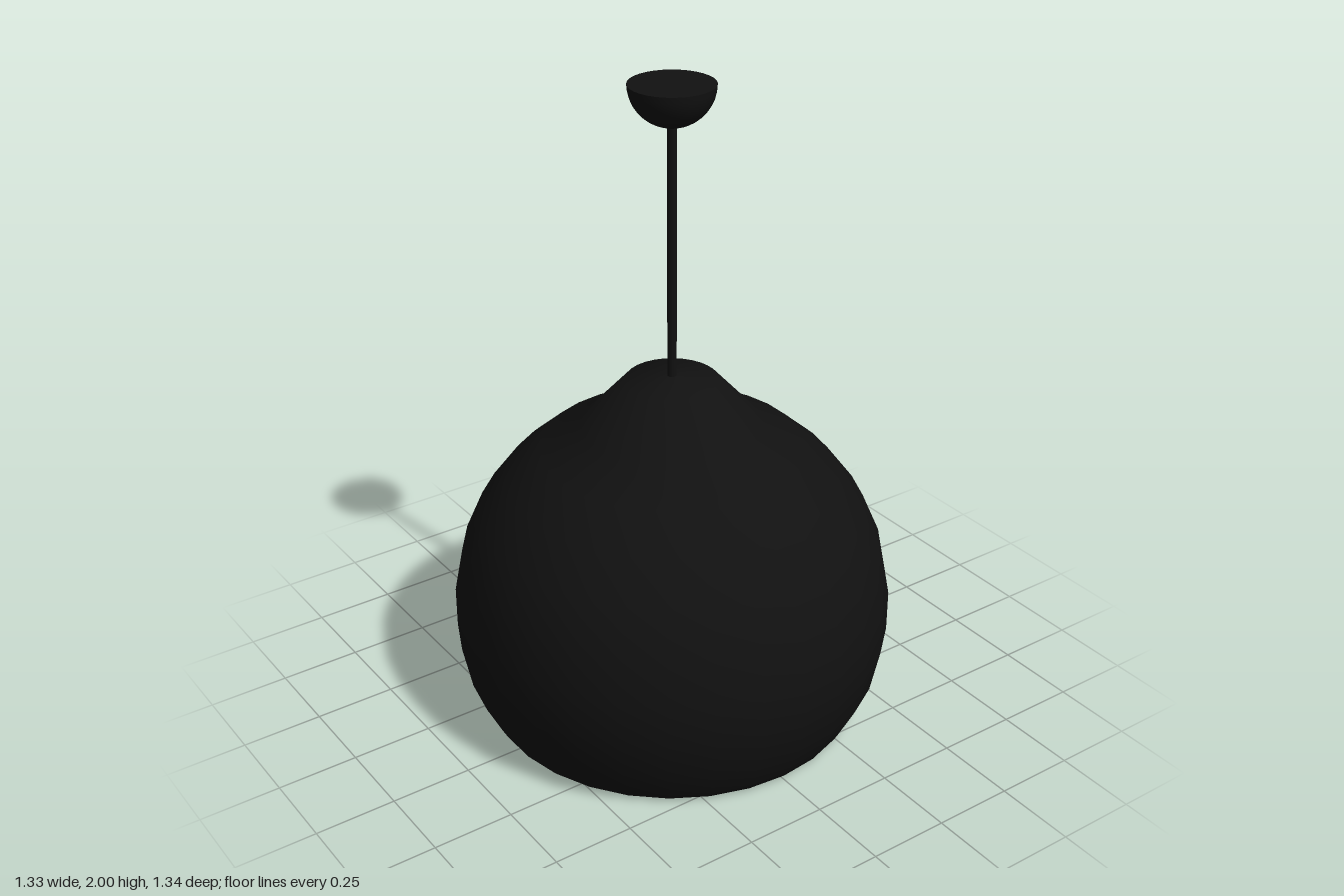
import * as THREE from 'three';

export function createModel() {
  const lamp = new THREE.Group();
  lamp.name = 'pendantLamp';
  const black = new THREE.MeshStandardMaterial({ color: 0x111111 });
  const grey = new THREE.MeshStandardMaterial({ color: 0xcccccc });

  const add = (name, geometry, material) => {
    const mesh = new THREE.Mesh(geometry, material);
    mesh.name = name;
    lamp.add(mesh);
    return mesh;
  };
  const lathe = (points, sides) =>
    new THREE.LatheGeometry(points.map(([r, y]) => new THREE.Vector2(r, y)), sides);

  // Shade: rolled inner lip, rounded rim, globe, collar and shallow crown
  add('shade', lathe([
    [0.49, 0.064], [0.497, 0.035], [0.515, 0.01], [0.545, 0], [0.565, 0.003],
    [0.58, 0.013], [0.592, 0.035], [0.642, 0.135], [0.67, 0.275], [0.67, 0.405],
    [0.642, 0.55], [0.588, 0.675], [0.502, 0.79], [0.398, 0.882],
    [0.272, 0.955], [0.14, 1.1], [0, 1.115],
  ], 30), black);

  // Flat diffuser closing the opening, facing down
  const diffuser = add('diffuser', new THREE.CircleGeometry(0.492, 30), grey);
  diffuser.rotation.x = Math.PI / 2;
  diffuser.position.y = 0.064;

  // Suspension rod
  const rod = add('rod', new THREE.CylinderGeometry(0.014, 0.014, 0.8, 16), black);
  rod.position.y = 1.5;

  // Ceiling canopy: half sphere with a flat top
  const bowl = [];
  for (let i = 0; i <= 10; i++) {
    const a = (i / 10) * Math.PI / 2;
    bowl.push([0.125 * Math.sin(a), 2 - 0.122 * Math.cos(a)]);
  }
  add('canopy', lathe(bowl, 32), black);
  const top = add('canopyTop', new THREE.CircleGeometry(0.125, 32), black);
  top.rotation.x = -Math.PI / 2;
  top.position.y = 2;

  return lamp;
}
